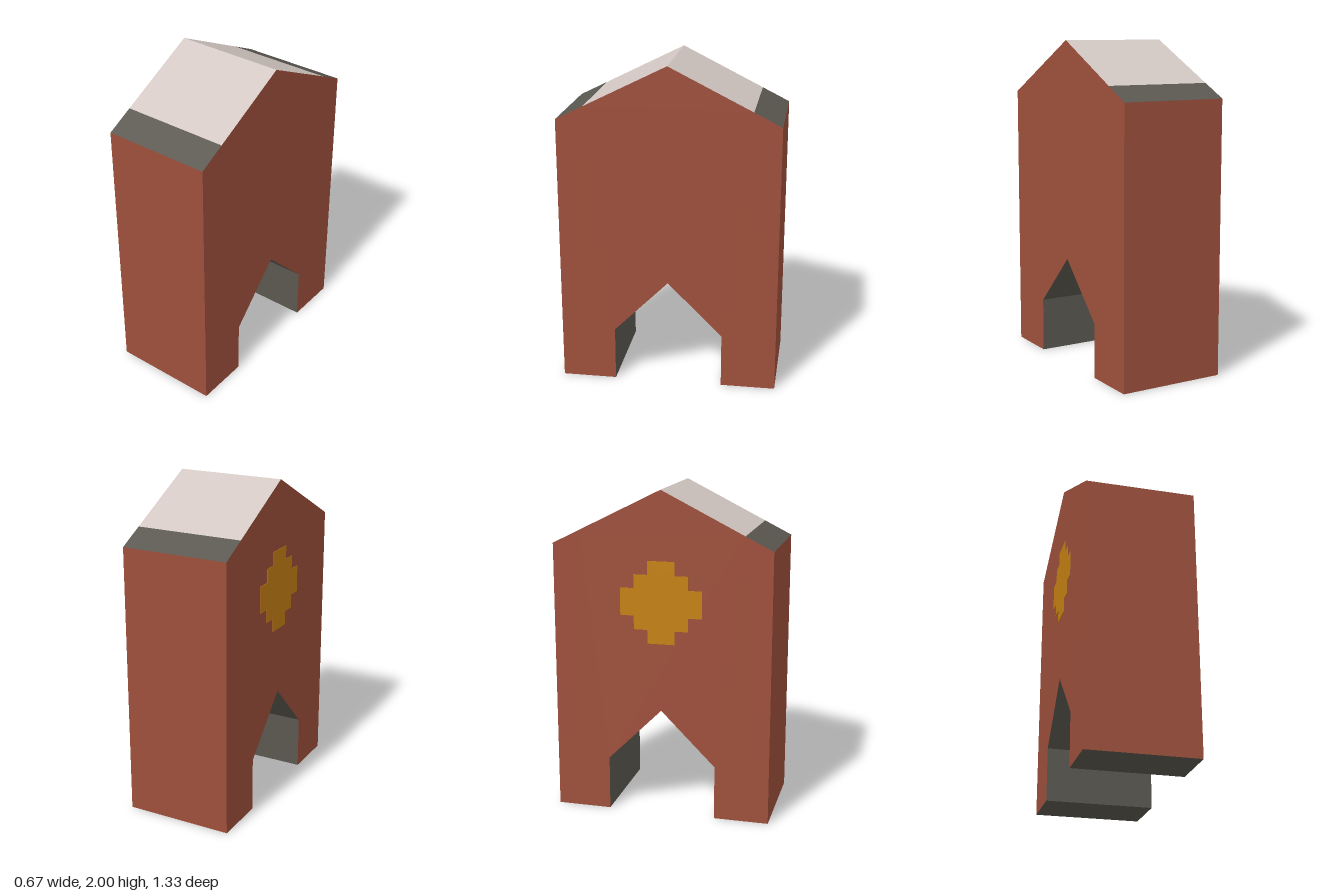
import * as THREE from 'three';

const mat = (name, color) => {
  const m = new THREE.MeshStandardMaterial({ color });
  m.name = name;
  return m;
};

export function createModel() {
  const brick = mat('brick red', 0x9f503c);
  const stone = mat('dark stone', 0x5a5850);
  const roof = mat('pale roof', 0xd2c7c2);
  const gold = mat('gold', 0xc78212);

  const group = new THREE.Group();
  group.name = 'archedGatehouse';
  const h = 1 / 3; // half thickness along x

  // Outline as [u, y, name, material] with u = -z; each entry names the face to the next point
  const outline = [
    [-2 / 3, 0, 'frontFoot', stone],
    [-1 / 3, 0, 'frontJamb', stone],
    [-1 / 3, 1 / 3, 'frontArchSlope', stone],
    [0, 2 / 3, 'backArchSlope', stone],
    [1 / 3, 1 / 3, 'backJamb', stone],
    [1 / 3, 0, 'backFoot', stone],
    [2 / 3, 0, 'backWall', brick],
    [2 / 3, 5 / 3, 'backEave', stone],
    [0.5, 1.75, 'backRoof', roof],
    [0, 2, 'frontRoof', roof],
    [-0.5, 1.75, 'frontEave', stone],
    [-2 / 3, 5 / 3, 'frontWall', brick],
  ];

  const add = (name, geometry, material) => {
    const mesh = new THREE.Mesh(geometry, material);
    mesh.name = name;
    group.add(mesh);
    return mesh;
  };

  // Faces that run across the thickness
  outline.forEach(([u, y, name, material], i) => {
    const [u2, y2] = outline[(i + 1) % outline.length];
    const a = [h, y, -u], b = [h, y2, -u2], c = [-h, y, -u], d = [-h, y2, -u2];
    const geo = new THREE.BufferGeometry();
    geo.setAttribute('position',
      new THREE.Float32BufferAttribute([b, a, c, b, c, d].flat(), 3));
    geo.computeVertexNormals();
    add(name, geo, material);
  });

  // Gable walls with the arch cut out
  const gable = new THREE.ShapeGeometry(
    new THREE.Shape(outline.map(([u, y]) => new THREE.Vector2(u, y))));
  for (const side of [1, -1]) {
    const wall = add(side > 0 ? 'leftGable' : 'rightGable', gable, brick);
    wall.position.x = side * h;
    wall.rotation.y = side * Math.PI / 2;
  }

  // Stepped round emblem on the right gable
  const s = 1 / 12;
  const quarter = [[3, 1], [2, 1], [2, 2], [1, 2], [1, 3]];
  const points = [];
  for (let k = 0; k < 4; k++) {
    for (const [px, py] of quarter) {
      let p = [px * s, py * s];
      for (let r = 0; r < k; r++) p = [-p[1], p[0]];
      points.push(new THREE.Vector2(...p));
    }
  }
  const emblem = add('emblem', new THREE.ExtrudeGeometry(new THREE.Shape(points),
    { depth: 0.003, bevelEnabled: false }), gold);
  emblem.position.set(-h, 4 / 3, 0);
  emblem.rotation.y = -Math.PI / 2;

  return group;
}
